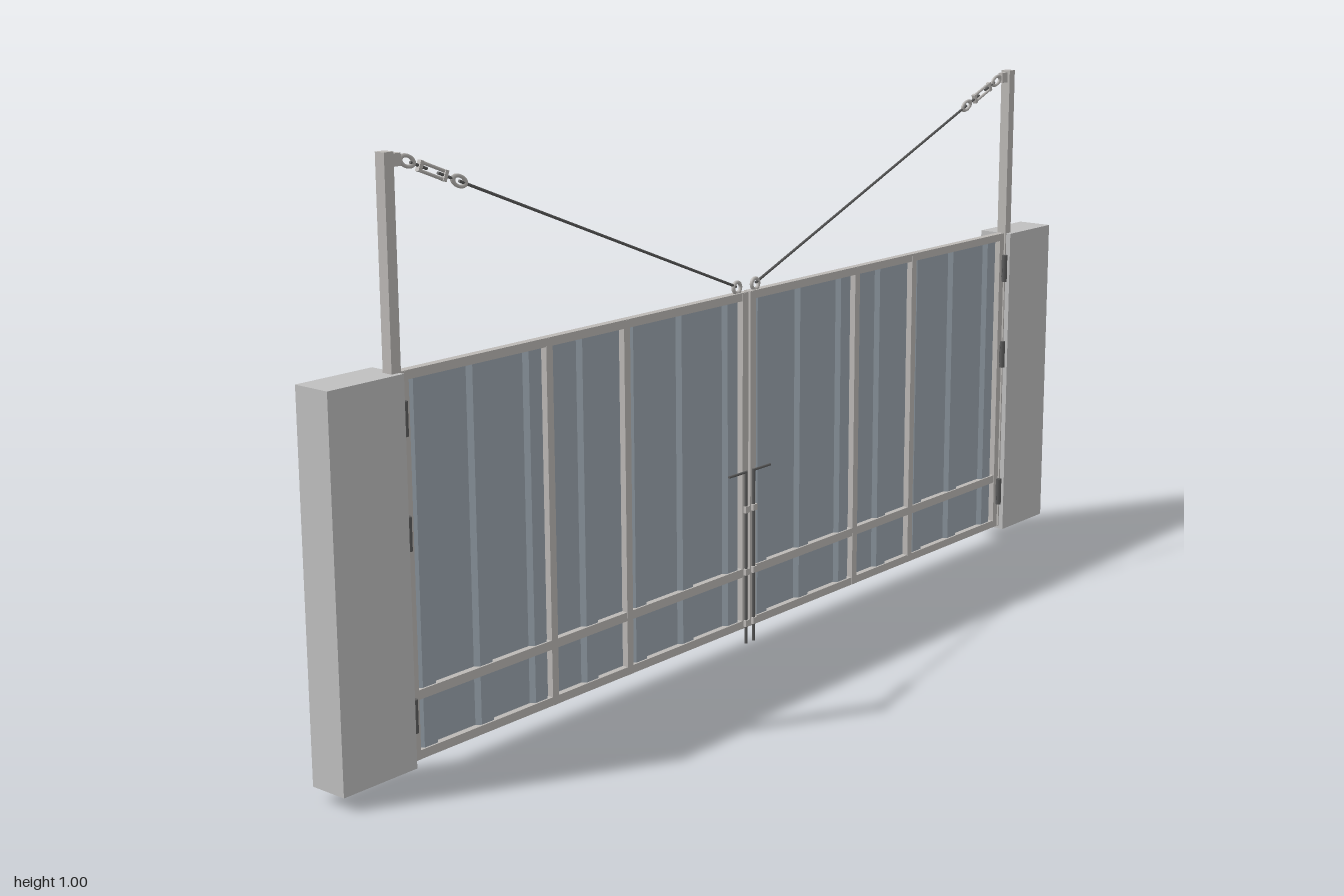
import * as THREE from 'three';

const material = (name, color, side = THREE.FrontSide) => {
  const m = new THREE.MeshStandardMaterial({ color, side });
  m.name = name;
  return m;
};

const Z = 0.017; // middle plane of the gate leaves

export function createModel() {
  const concrete = material('concrete grey', 0xc0c0c0);
  const steel = material('frame steel', 0xbcb9b6);
  const sheetBlue = material('blue grey sheet', 0x9ca6b0, THREE.DoubleSide);
  const iron = material('dark iron', 0x5c5c5c);

  const gate = new THREE.Group();
  gate.name = 'doubleGate';

  const add = (parent, name, geometry, mat) => {
    const mesh = new THREE.Mesh(geometry, mat);
    mesh.name = name;
    parent.add(mesh);
    return mesh;
  };
  // Box given by its limits on each axis
  const box = (parent, name, mat, x0, x1, y0, y1, z0, z1) => {
    const geo = new THREE.BoxGeometry(Math.abs(x1 - x0), y1 - y0, z1 - z0);
    geo.translate((x0 + x1) / 2, (y0 + y1) / 2, (z0 + z1) / 2);
    return add(parent, name, geo, mat);
  };
  // Round bar between two points
  const bar = (parent, name, mat, a, b, radius) => {
    const dir = b.clone().sub(a);
    const mesh = add(parent, name, new THREE.CylinderGeometry(radius, radius, dir.length(), 8), mat);
    mesh.position.copy(a).lerp(b, 0.5);
    mesh.quaternion.setFromUnitVectors(new THREE.Vector3(0, 1, 0), dir.normalize());
    return mesh;
  };
  const at = (x, y, z = Z) => new THREE.Vector3(x, y, z);

  // Trapezoidal sheet swept upwards from its zigzag section
  const corrugatedSheet = (s) => {
    const section = [[0.835, 0.013]];
    for (let i = 6; i >= 0; i--) {
      const c = 0.043 + i * 0.1265;
      section.push([c + 0.021, 0.013], [c + 0.014, 0.021], [c - 0.014, 0.021], [c - 0.021, 0.013]);
    }
    section.push([0.012, 0.013]);
    const positions = [];
    for (let i = 0; i < section.length - 1; i++) {
      const [xa, za] = section[i], [xb, zb] = section[i + 1];
      const a = [s * xa, 0.036, za], b = [s * xb, 0.036, zb];
      const c = [s * xb, 0.66, zb], d = [s * xa, 0.66, za];
      const quad = s < 0 ? [a, b, c, a, c, d] : [b, a, d, b, d, c];
      positions.push(...quad.flat());
    }
    const geo = new THREE.BufferGeometry();
    geo.setAttribute('position', new THREE.Float32BufferAttribute(positions, 3));
    geo.computeVertexNormals();
    return geo;
  };

  for (const s of [-1, 1]) {
    const half = new THREE.Group();
    half.name = s < 0 ? 'rightHalf' : 'leftHalf';
    gate.add(half);

    // Pillar and tall stay post
    box(half, 'pillar', concrete, s * 0.848, s, 0.024, 0.665, -0.035, 0.037);
    box(half, 'stayPost', steel, s * 0.845, s * 0.864, 0.03, 1.003, 0.007, 0.027);

    // Leaf frame: stiles and rails
    for (const [x0, x1] of [[0.828, 0.843], [0.511, 0.526], [0.322, 0.337], [0.003, 0.019]]) {
      box(half, 'stile', steel, s * x0, s * x1, 0.03, 0.665, 0.009, 0.025);
    }
    for (const [y0, y1] of [[0.03, 0.045], [0.13, 0.146], [0.651, 0.666]]) {
      box(half, 'rail', steel, s * 0.003, s * 0.843, y0, y1, 0.0095, 0.0245);
    }
    add(half, 'corrugatedSheet', corrugatedSheet(s), sheetBlue);

    // Hinges
    for (const y of [0.108, 0.408, 0.592]) {
      bar(half, 'hinge', iron, at(s * 0.842, y - 0.028, 0.028), at(s * 0.842, y + 0.028, 0.028), 0.006);
      box(half, 'hingePlate', iron, s * 0.836, s * 0.85, y - 0.018, y + 0.018, 0.02, 0.027);
    }

    // Drop bolt with handle and guide brackets
    const boltX = s * 0.011;
    bar(half, 'dropBolt', iron, at(boltX, 0, 0.0265), at(boltX, 0.333, 0.0265), 0.003);
    bar(half, 'boltHandle', iron, at(boltX, 0.331, 0.0265), at(s * 0.06, 0.331, 0.0265), 0.0025);
    for (const y of [0.04, 0.14, 0.26]) {
      box(half, 'boltGuide', steel, boltX - 0.006, boltX + 0.006, y - 0.006, y + 0.006, 0.022, 0.031);
    }

    // Stay cable from the leaf tip up to the post head
    const low = at(s * 0.028, 0.678), high = at(s * 0.822, 0.989);
    const along = (t) => low.clone().lerp(high, t);
    const tilt = Math.atan2(high.y - low.y, high.x - low.x);
    bar(half, 'stayCable', iron, low, along(0.85), 0.0025);

    // Anchor eye on the leaf and bracket on the post
    const eye = add(half, 'anchorEye', new THREE.TorusGeometry(0.01, 0.0035, 8, 16), steel);
    eye.position.set(s * 0.026, 0.676, Z);
    box(half, 'postBracket', steel, s * 0.826, s * 0.846, 0.979, 0.999, 0.012, 0.022);

    // Shackles, drawn as stretched rings
    for (const t of [0.85, 0.985]) {
      const ring = add(half, 'shackle', new THREE.TorusGeometry(0.008, 0.003, 8, 16), steel);
      ring.position.copy(along(t));
      ring.rotation.z = tilt;
      ring.scale.x = 1.8;
    }
    // Turnbuckle: open body and threaded ends
    const buckle = new THREE.Group();
    buckle.name = 'turnbuckle';
    buckle.position.copy(along(0.92));
    buckle.rotation.z = tilt;
    half.add(buckle);
    for (const side of [-1, 1]) {
      bar(buckle, 'turnbuckleSide', steel, at(-0.026, side * 0.0065, 0), at(0.026, side * 0.0065, 0), 0.0028);
      box(buckle, 'turnbuckleEnd', steel, side * 0.024, side * 0.031, -0.009, 0.009, -0.004, 0.004);
      bar(buckle, 'threadedEnd', iron, at(side * 0.012, 0, 0), at(side * 0.048, 0, 0), 0.0025);
    }
  }

  return gate;
}
